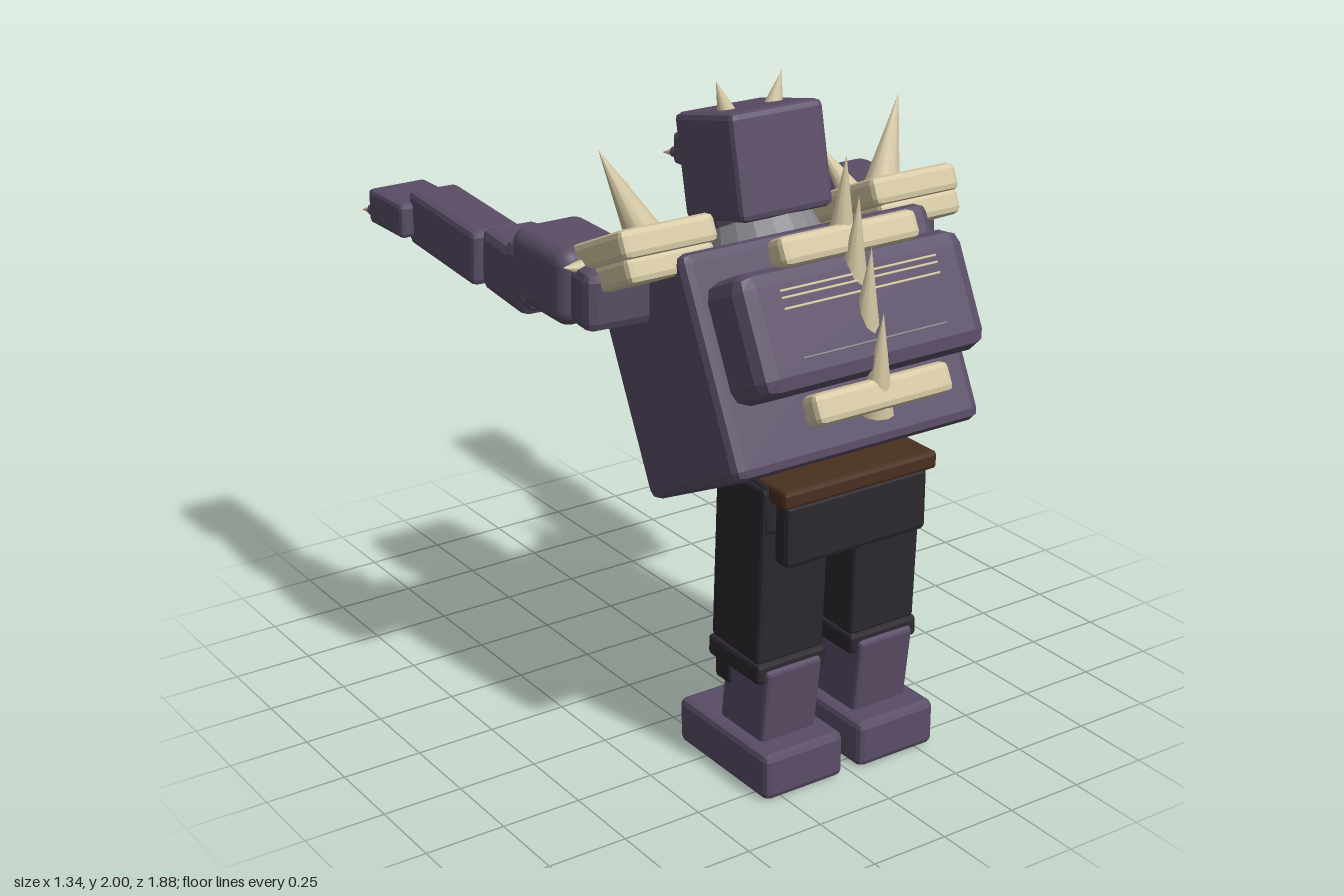
import * as THREE from 'three';
import { RoundedBoxGeometry } from 'three/addons/geometries/RoundedBoxGeometry.js';

const mat = (color, flatShading = true) => new THREE.MeshStandardMaterial({ color, flatShading });
const SKIN = mat(0x5a4d66), SOFT = mat(0x5a4d66, false), BONE = mat(0xd3c6a2), HORN = mat(0xd3c6a2, false);
const CLOTH = mat(0x2c282f), BELT = mat(0x4a3020), METAL = mat(0x85858a), RED = mat(0xe02010);
const MAW = mat(0x34141c), DARK = mat(0x1c191f);
const V = (p) => new THREE.Vector3(...p);

function add(parent, name, geometry, material, pos = [0, 0, 0], rot = [0, 0, 0]) {
  const mesh = new THREE.Mesh(geometry, material);
  mesh.name = name;
  mesh.position.set(...pos);
  mesh.rotation.set(...rot);
  parent.add(mesh);
  return mesh;
}

// Box with chamfered edges
function block(parent, name, size, pos, material = SKIN, rot, bevel = 0.02, segments = 1) {
  const r = Math.min(bevel, Math.min(...size) * 0.45);
  return add(parent, name, new RoundedBoxGeometry(...size, segments, r), material, pos, rot);
}

// Cone or rod running from one point to another
function rod(parent, name, from, to, r0, r1, material, sides = 10) {
  const a = V(from), b = V(to), dir = b.clone().sub(a);
  const mesh = add(parent, name, new THREE.CylinderGeometry(r1, r0, dir.length(), sides), material);
  mesh.position.copy(a).add(b).multiplyScalar(0.5);
  mesh.quaternion.setFromUnitVectors(new THREE.Vector3(0, 1, 0), dir.normalize());
  return mesh;
}
const spike = (parent, name, from, to, r) => rod(parent, name, from, to, r, 0, HORN);

function group(parent, name, pos = [0, 0, 0], tilt = 0) {
  const g = new THREE.Group();
  g.name = name;
  g.position.set(...pos);
  g.rotation.x = tilt;
  parent.add(g);
  return g;
}

function buildTorso(root) {
  const t = group(root, 'torso', [0, 1.235, 0.48], -0.454);
  block(t, 'trunk', [0.86, 0.645, 0.5], [0, 0, 0], SKIN, undefined, 0.03);
  block(t, 'backHump', [0.78, 0.35, 0.22], [0, 0.05, 0.32], SKIN, undefined, 0.05);
  block(t, 'belly', [0.64, 0.31, 0.07], [0, -0.15, -0.24], SOFT, undefined, 0.033, 4);

  // Bone bars and thin scars across the back
  block(t, 'upperBackBar', [0.47, 0.085, 0.085], [0, 0.255, 0.4], BONE);
  block(t, 'lowerBackBar', [0.47, 0.09, 0.08], [0, -0.18, 0.375], BONE);
  for (const y of [0.155, 0.135, 0.105]) block(t, 'backScar', [0.54, 0.007, 0.006], [0, y, 0.43], HORN);
  block(t, 'backScar', [0.5, 0.006, 0.006], [0, -0.035, 0.43], METAL);

  // Sternum and four ribs a side
  block(t, 'sternum', [0.045, 0.27, 0.03], [0, 0.15, -0.255], BONE, undefined, 0.008);
  for (const s of [-1, 1]) for (let i = 0; i < 4; i++) {
    const y = 0.25 - i * 0.062;
    block(t, 'rib', [0.27 - i * 0.012, 0.024, 0.03], [s * 0.17, y - 0.02, -0.255], BONE, [0, 0, -s * 0.25], 0.008);
  }

  // Neck and metal collar
  add(t, 'neck', new THREE.CylinderGeometry(0.12, 0.15, 0.2, 16), SKIN, [0, 0.36, 0.0]);
  add(t, 'collar', new THREE.CylinderGeometry(0.165, 0.185, 0.07, 20), METAL, [0, 0.35, 0.0]);

  // Row of spikes down the spine
  for (let i = 0; i < 4; i++) {
    const z = 0.71 + i * 0.06, y = [1.58, 1.48, 1.35, 1.18][i];
    spike(root, 'spineSpike', [0, y, z], [0, y + 0.3, z + 0.02], 0.05);
  }

  // Blade hung on the chest
  rod(root, 'chestRod', [0.04, 1.35, -0.04], [0.08, 1.29, 0.16], 0.012, 0.012, METAL, 6);
  rod(root, 'chestRod', [0.08, 1.29, 0.16], [-0.04, 1.07, 0.265], 0.012, 0.012, METAL, 6);
  rod(root, 'chestBlade', [0.07, 1.29, 0.15], [0.02, 1.16, 0.21], 0.025, 0.025, METAL, 4);
}

function buildHead(root) {
  const h = group(root, 'head', [0, 1.765, 0.3], -0.21);
  block(h, 'skull', [0.32, 0.31, 0.3], [0, 0, 0]);
  block(h, 'browBand', [0.27, 0.085, 0.02], [0, 0.03, -0.148], DARK, undefined, 0.006);
  block(h, 'nose', [0.045, 0.06, 0.035], [0, -0.02, -0.155], SKIN, undefined, 0.01);
  block(h, 'mouth', [0.2, 0.05, 0.06], [0, -0.1, -0.16], MAW, undefined, 0.008);
  for (const s of [-1, 1]) {
    block(h, 'eye', [0.08, 0.05, 0.025], [s * 0.075, 0.03, -0.158], RED, undefined, 0.006);
    spike(h, 'tusk', [s * 0.06, -0.085, -0.182], [s * 0.06, -0.045, -0.188], 0.01);
    spike(h, 'horn', [s * 0.08, 0.14, 0.01], [s * 0.115, 0.24, 0.025], 0.03);
  }
}

function buildArm(root, s) {
  const a = group(root, s > 0 ? 'leftArm' : 'rightArm');
  // Layered shoulder pad with spikes
  const pad = group(a, 'shoulderPad', [s * 0.43, 1.57, 0.37], -0.42);
  block(pad, 'padTop', [0.31, 0.085, 0.35], [0, 0.035, 0], BONE);
  block(pad, 'padBase', [0.29, 0.08, 0.33], [s * 0.005, -0.035, 0], BONE);
  spike(a, 'largeShoulderSpike', [s * 0.41, 1.61, 0.37], [s * 0.525, 1.88, 0.3], 0.06);
  spike(a, 'smallShoulderSpike', [s * 0.38, 1.58, 0.28], [s * 0.34, 1.725, 0.155], 0.042);
  spike(a, 'sideShoulderSpike', [s * 0.58, 1.55, 0.3], [s * 0.645, 1.56, 0.3], 0.025);

  // Arm stretched forward
  block(a, 'shoulder', [0.22, 0.18, 0.25], [s * 0.5, 1.47, 0.275], SKIN, [0, s * 0.1, 0], 0.03);
  block(a, 'upperArm', [0.245, 0.23, 0.3], [s * 0.52, 1.485, 0.14], SOFT, [0.03, 0, 0], 0.05, 4);
  block(a, 'elbowUpper', [0.2, 0.2, 0.16], [s * 0.54, 1.455, 0.03], SKIN, [-0.05, s * 0.06, 0], 0.04);
  block(a, 'elbow', [0.185, 0.19, 0.28], [s * 0.54, 1.44, -0.06], SKIN, [0.05, s * 0.06, 0], 0.03);
  block(a, 'forearm', [0.165, 0.17, 0.45], [s * 0.558, 1.452, -0.41], SKIN, [0.03, s * 0.06, 0], 0.02);
  block(a, 'hand', [0.2, 0.11, 0.22], [s * 0.57, 1.455, -0.71], SKIN, undefined, 0.015);
  for (const i of [-1, 0, 1]) {
    const x = s * 0.57 + i * 0.064;
    rod(a, 'finger', [x, 1.43, -0.81], [x, 1.425, -0.86], 0.023, 0.02, SKIN, 8);
    spike(a, 'claw', [x, 1.425, -0.85], [x, 1.405, -0.935], 0.017);
  }
}

function buildLeg(root, s) {
  const l = group(root, s > 0 ? 'leftLeg' : 'rightLeg'), x = s * 0.168;
  block(l, 'trouserLeg', [0.235, 0.56, 0.235], [x, 0.69, 0.632], CLOTH, [0.04, 0, 0], 0.012);
  block(l, 'trouserCuff', [0.245, 0.065, 0.255], [x, 0.38, 0.62], CLOTH, undefined, 0.012);
  block(l, 'kneePatch', [0.14, 0.11, 0.03], [x, 0.5, 0.508], CLOTH, undefined, 0.01);
  block(l, 'thighPouch', [0.12, 0.2, 0.05], [x, 0.75, 0.51], CLOTH, undefined, 0.012);
  block(l, 'cuffStrap', [0.05, 0.085, 0.075], [s * 0.25, 0.32, 0.545], CLOTH, undefined, 0.01);
  spike(l, 'kneeSpike', [x, 0.468, 0.51], [x, 0.485, 0.435], 0.017);
  block(l, 'shin', [0.195, 0.28, 0.21], [x, 0.26, 0.642], SKIN, [0.12, 0, 0], 0.012);
  block(l, 'foot', [0.28, 0.145, 0.45], [s * 0.17, 0.08, 0.595], SKIN);
  for (let i = 0; i < 4; i++) {
    const cx = s * 0.17 + (i - 1.5) * 0.064;
    spike(l, 'toeClaw', [cx, 0.055, 0.375], [cx, 0.045, 0.32], 0.014);
  }
}

export function createModel() {
  const root = new THREE.Group();
  root.name = 'spikedBrute';
  buildTorso(root);
  buildHead(root);
  for (const s of [-1, 1]) {
    buildArm(root, s);
    buildLeg(root, s);
  }

  // Hips, belt, rear flap and hanging chain
  block(root, 'hips', [0.56, 0.16, 0.25], [0, 0.9, 0.64], CLOTH);
  block(root, 'belt', [0.54, 0.055, 0.34], [0, 0.955, 0.67], BELT, undefined, 0.012);
  block(root, 'rearFlap', [0.5, 0.2, 0.07], [0, 0.835, 0.79], CLOTH, undefined, 0.018);
  const chain = new THREE.CatmullRomCurve3([[-0.22, 0.88, 0.47], [-0.13, 0.78, 0.455], [0, 0.735, 0.45], [0.13, 0.78, 0.455], [0.22, 0.88, 0.47]].map(V));
  for (let i = 0; i < 12; i++) {
    const a = chain.getPointAt(i / 12).toArray(), b = chain.getPointAt((i + 1) / 12).toArray();
    rod(root, 'chainLink', a, b, i % 2 ? 0.017 : 0.011, i % 2 ? 0.017 : 0.011, METAL, 6);
  }

  // Wrist clasp and dangling blade on the left arm
  block(root, 'wristClasp', [0.1, 0.03, 0.06], [0.58, 1.54, -0.6], METAL, undefined, 0.008);
  rod(root, 'bladeHandle', [0.57, 1.39, -0.59], [0.57, 1.25, -0.49], 0.01, 0.01, METAL, 6);
  block(root, 'blade', [0.02, 0.15, 0.045], [0.57, 1.2, -0.44], METAL, [-0.72, 0, 0], 0.005);
  return root;
}
